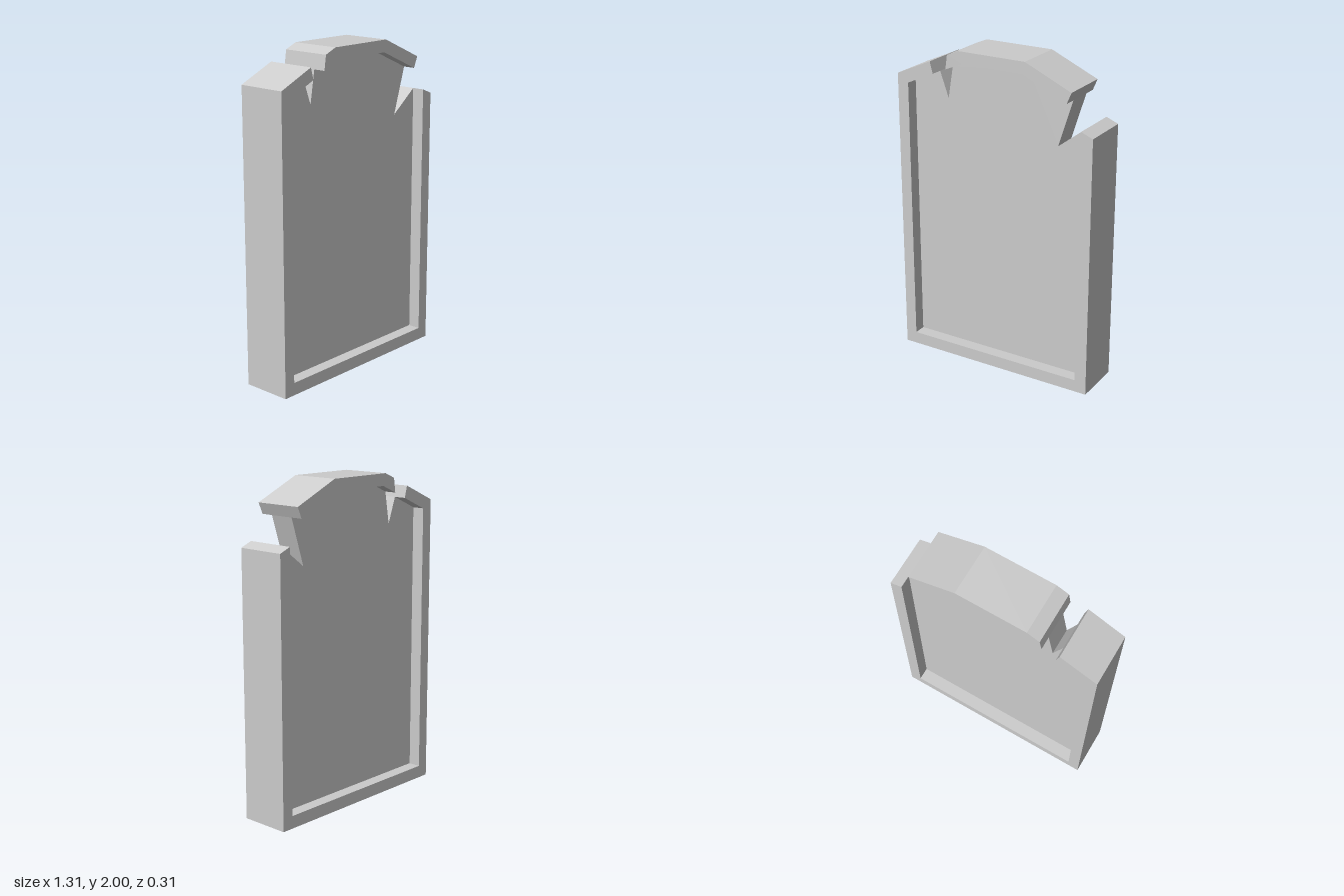
import * as THREE from 'three';

const material = new THREE.MeshStandardMaterial({ color: 0xcccccc, flatShading: true });

// Extrude an outline in the xy plane, centred on z = 0
function slab(name, points, depth) {
  const shape = new THREE.Shape(points.map(([x, y]) => new THREE.Vector2(x, y)));
  const geometry = new THREE.ExtrudeGeometry(shape, { depth, bevelEnabled: false });
  geometry.translate(0, 0, -depth / 2);
  const mesh = new THREE.Mesh(geometry, material);
  mesh.name = name;
  return mesh;
}

export function createModel() {
  const group = new THREE.Group();
  group.name = 'brokenGravestone';
  const frameDepth = 0.312, panelDepth = 0.156;

  // Inner edge of the rim, on either side of the two cracks
  const lowerInner = [[-0.403, 1.838], [-0.582, 1.758], [-0.582, 0.078], [0.58, 0.078], [0.58, 1.655]];
  const upperInner = [[0.487, 1.8], [0.203, 1.926], [-0.203, 1.926], [-0.313, 1.878]];

  // U-shaped rim: base, both sides and the left shoulder stub
  group.add(slab('lowerFrame', [
    ...lowerInner,
    [0.655, 1.625], [0.655, 0], [-0.655, 0], [-0.655, 1.808], [-0.422, 1.911],
  ], frameDepth));

  // Rim over the top, between the cracks
  group.add(slab('topFrame', [
    ...upperInner,
    [-0.3, 1.967], [-0.222, 2], [0.218, 2], [0.516, 1.868],
  ], frameDepth));

  // Recessed panel with the crack tips cut into it
  group.add(slab('panel', [
    ...lowerInner, [0.397, 1.514], ...upperInner, [-0.346, 1.68],
  ], panelDepth));

  return group;
}
